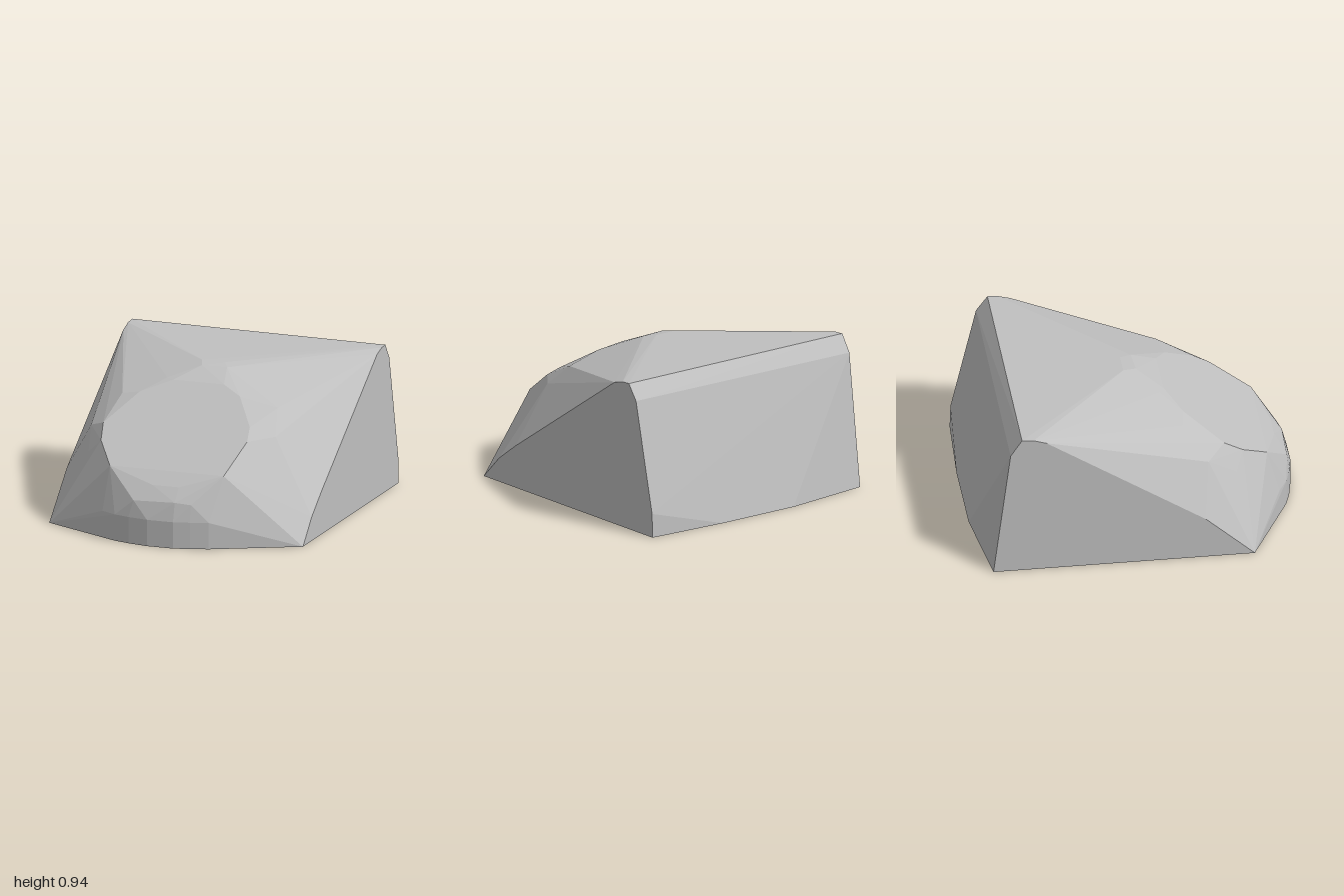
import * as THREE from 'three';
import { ConvexGeometry } from 'three/addons/geometries/ConvexGeometry.js';

const HALF_WIDTH = 0.825;

export function createModel() {
  const group = new THREE.Group();
  group.name = 'facetedWedge';
  const stone = new THREE.MeshStandardMaterial({ color: 0xc0c0c0 });
  stone.name = 'plain grey';

  const points = [];
  const add = (x, y, z) => points.push(new THREE.Vector3(x, y, z));

  // flat side walls, as [z, y] outlines
  const leftWall = [[0.68, 0], [0.53, 0.15], [0.37, 0.265], [-0.6, 0.9], [-0.68, 0.922],
    [-0.74, 0.925], [-0.81, 0.83], [-0.967, 0.15], [-0.972, 0]];
  const rightWall = [[0.68, 0], [0.38, 0.27], [-0.6, 0.905], [-0.68, 0.93],
    [-0.75, 0.935], [-0.82, 0.83], [-0.925, 0]];
  leftWall.forEach(([z, y]) => add(HALF_WIDTH, y, z));
  rightWall.forEach(([z, y]) => add(-HALF_WIDTH, y, z));

  // bulging foot of the back wall
  add(-0.25, 0, -1);
  add(0.3, 0, -1);

  // rounded upright nose band
  for (const [x, z] of [[-0.3, 0.945], [-0.2, 0.975], [-0.07, 1], [0.1, 1], [0.2, 0.975], [0.31, 0.94]]) {
    add(x, 0, z);
    add(x, 0.165, z);
  }
  add(-0.4, 0.165, 0.89);

  // lip above the nose
  [[-0.17, 0.27, 0.965], [0.1, 0.28, 0.97], [0.2, 0.27, 0.955],
    [-0.07, 0.36, 0.9], [0.1, 0.36, 0.9], [-0.35, 0.32, 0.86]].forEach((p) => add(...p));

  // sloped front panel, an octagon lying in one plane, as [x, z]
  for (const [x, z] of [[-0.38, 0.815], [-0.5, 0.65], [-0.53, 0.53], [-0.38, 0.3], [-0.2, 0.2],
    [0.13, 0.2], [0.26, 0.27], [0.4, 0.47], [0.42, 0.57], [0.36, 0.815]]) {
    add(x, 0.43 + (0.82 - z) * 0.661, z);
  }

  // shoulders around the panel
  [[0.5, 0.74, 0.25], [0.545, 0.6, 0.41], [0.545, 0.47, 0.49], [0.49, 0.39, 0.65],
    [-0.5, 0.75, 0.28], [-0.65, 0.57, 0.42], [-0.6, 0.45, 0.6], [-0.5, 0.33, 0.75]].forEach((p) => add(...p));

  // rounded crest above the panel
  [[-0.1, 0.92, -0.03], [0.05, 0.918, -0.03], [-0.07, 0.907, 0.05], [0.09, 0.905, 0.04],
    [-0.25, 0.842, 0.17], [0.25, 0.82, 0.19]].forEach((p) => add(...p));

  const body = new THREE.Mesh(new ConvexGeometry(points), stone);
  body.name = 'body';
  group.add(body);
  return group;
}
